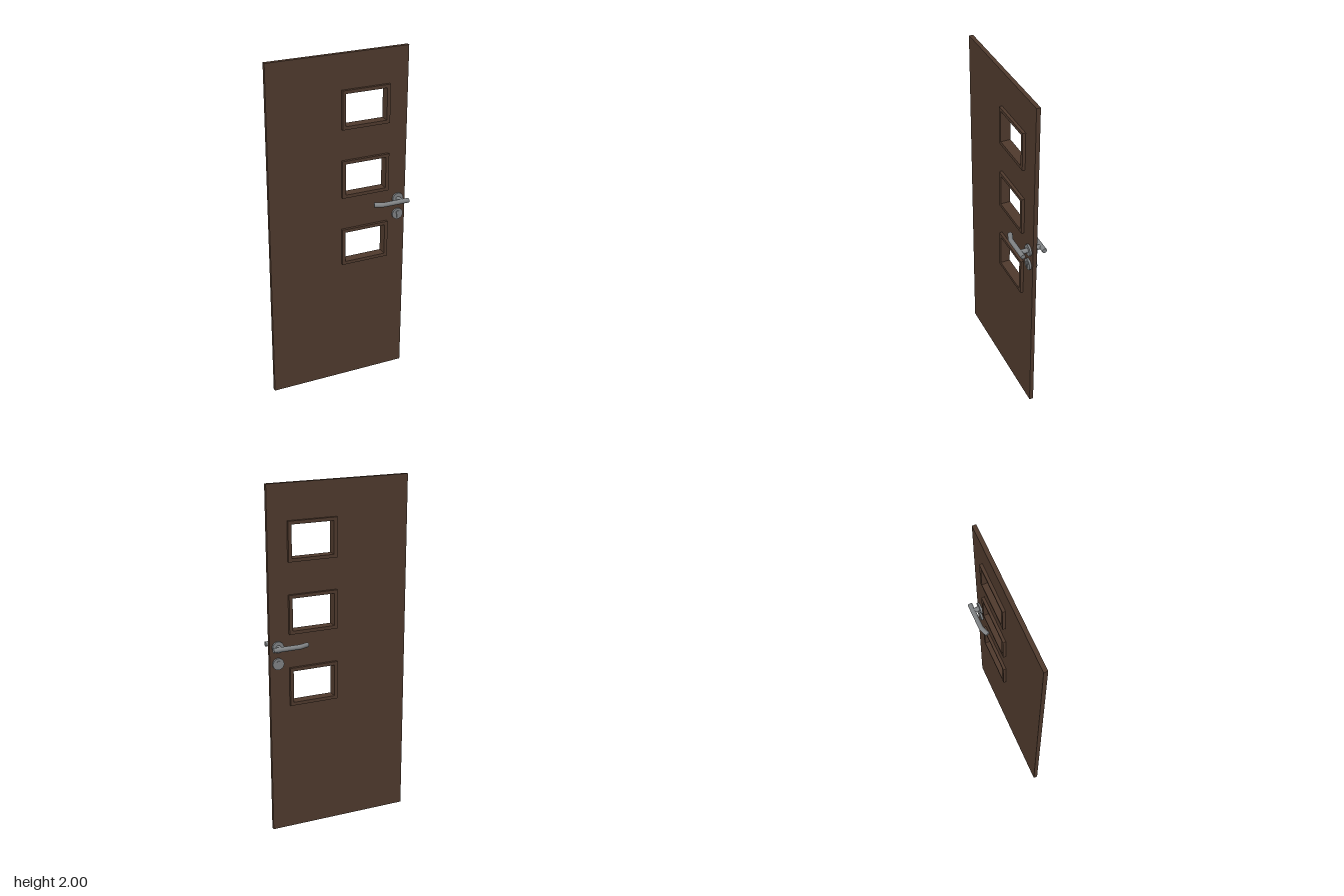
import * as THREE from 'three';

const wood = new THREE.MeshStandardMaterial({ color: 0x4f3a2d });
wood.name = 'darkWood';
const metal = new THREE.MeshStandardMaterial({ color: 0x7f8284 });
metal.name = 'brushedMetal';

const MID = -0.005;                    // centre plane of the door leaf
const HALF = 0.0115;                   // half the leaf thickness
const WINDOW_X = 0.1575;
const WINDOW_YS = [1.689, 1.285, 0.868];
const HANDLE_X = 0.366, HANDLE_Y = 1.108, LOCK_Y = 1.012;

function add(parent, name, geometry, material, x = 0, y = 0, z = 0) {
  const mesh = new THREE.Mesh(geometry, material);
  mesh.name = name;
  mesh.position.set(x, y, z);
  parent.add(mesh);
  return mesh;
}

function rect(target, x, y, w, h) {
  target.moveTo(x - w / 2, y - h / 2);
  target.lineTo(x + w / 2, y - h / 2);
  target.lineTo(x + w / 2, y + h / 2);
  target.lineTo(x - w / 2, y + h / 2);
  target.closePath();
  return target;
}

function plate(shape, depth) {
  const g = new THREE.ExtrudeGeometry(shape, { depth, bevelEnabled: false });
  return g.translate(0, 0, -depth / 2);
}

// Cylinder whose axis runs along z
function disc(radius, depth) {
  return new THREE.CylinderGeometry(radius, radius, depth, 32).rotateX(Math.PI / 2);
}

// Lever bar, straight and then bent back towards the door, with closed ends
function lever(parent, side, z) {
  const r = 0.0138;
  const p = (x, dz) => new THREE.Vector3(x, HANDLE_Y, z - side * dz);
  const path = new THREE.CurvePath();
  path.add(new THREE.LineCurve3(p(0.409, 0), p(0.262, 0)));
  path.add(new THREE.QuadraticBezierCurve3(p(0.262, 0), p(0.248, 0), p(0.235, 0.0055)));
  path.add(new THREE.LineCurve3(p(0.235, 0.0055), p(0.202, 0.0195)));
  add(parent, 'leverBar', new THREE.TubeGeometry(path, 40, r, 20), metal);
  for (const t of [0, 1]) {
    const out = path.getTangentAt(t).multiplyScalar(t ? 1 : -1);
    const cap = add(parent, 'leverEnd', new THREE.CircleGeometry(r, 20), metal);
    cap.position.copy(path.getPointAt(t));
    cap.quaternion.setFromUnitVectors(new THREE.Vector3(0, 0, 1), out);
  }
}

export function createModel() {
  const door = new THREE.Group();
  door.name = 'door';

  // Door leaf with three window openings
  const leaf = rect(new THREE.Shape(), -0.001, 1, 0.828, 2);
  for (const y of WINDOW_YS) leaf.holes.push(rect(new THREE.Path(), WINDOW_X, y, 0.265, 0.2));
  add(door, 'doorLeaf', plate(leaf, HALF * 2), wood, 0, 0, MID);

  // Raised window frames standing out on both faces
  const frame = rect(new THREE.Shape(), 0, 0, 0.285, 0.222);
  frame.holes.push(rect(new THREE.Path(), 0, 0, 0.246, 0.184));
  const frameGeometry = plate(frame, 0.056);
  for (const y of WINDOW_YS) add(door, 'windowFrame', frameGeometry, wood, WINDOW_X, y, MID);

  // Handle and lock on each face
  for (const side of [1, -1]) {
    const set = new THREE.Group();
    set.name = side > 0 ? 'frontHandle' : 'backHandle';
    door.add(set);
    const leverZ = side > 0 ? 0.062 : -0.064;
    const face = MID + side * HALF;
    for (const y of [HANDLE_Y, LOCK_Y]) {
      add(set, 'rose', disc(0.033, 0.011), metal, HANDLE_X, y, face + side * 0.0055);
    }
    add(set, 'stem', disc(0.0135, Math.abs(leverZ - face)), metal, HANDLE_X, HANDLE_Y, (leverZ + face) / 2);
    lever(set, side, leverZ);

    // Lock cylinder: round plug with a narrow tail below
    const lockZ = face + side * 0.0125;
    add(set, 'lockPlug', disc(0.011, 0.005), metal, HANDLE_X, LOCK_Y + 0.009, lockZ);
    add(set, 'lockTail', new THREE.BoxGeometry(0.011, 0.026, 0.005), metal, HANDLE_X, LOCK_Y - 0.009, lockZ);
  }

  return door;
}
